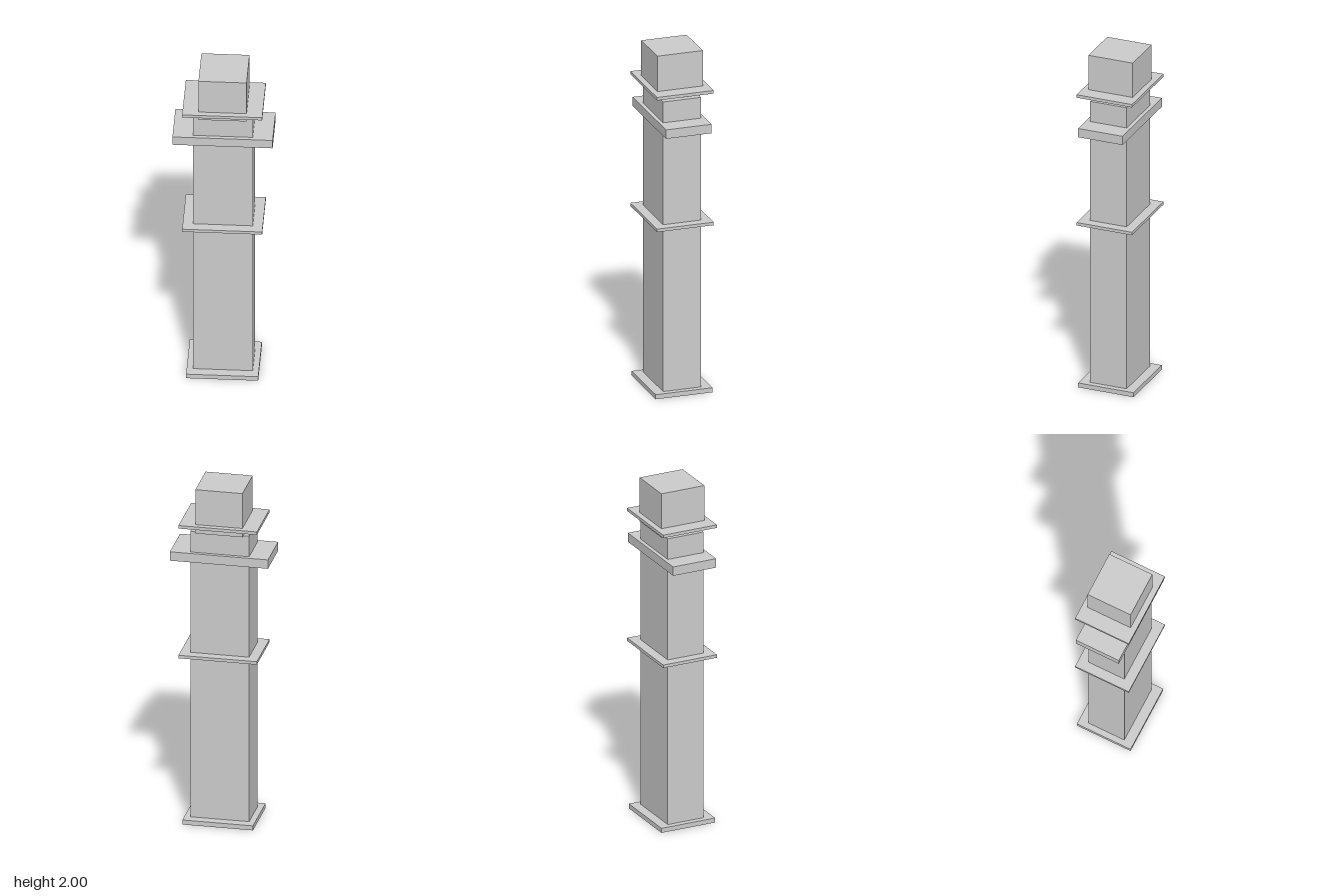
import * as THREE from 'three';

// name, width (x), depth (z), bottom y, top y
const PARTS = [
  ['basePlate', 0.4, 0.333, 0, 0.027],
  ['shaft', 0.333, 0.222, 0.027, 1.738],
  ['middlePlate', 0.444, 0.333, 0.995, 1.013],
  ['collar', 0.556, 0.267, 1.562, 1.615],
  ['upperPlate', 0.444, 0.333, 1.773, 1.791],
  ['topBlock', 0.267, 0.267, 1.738, 2],
];

export function createModel() {
  const model = new THREE.Group();
  model.name = 'pillar';
  const material = new THREE.MeshStandardMaterial({ color: 0xcccccc, flatShading: true });

  // Stacked boxes, each centred on the vertical axis
  for (const [name, width, depth, bottom, top] of PARTS) {
    const mesh = new THREE.Mesh(new THREE.BoxGeometry(width, top - bottom, depth), material);
    mesh.name = name;
    mesh.position.y = (bottom + top) / 2;
    model.add(mesh);
  }
  return model;
}
